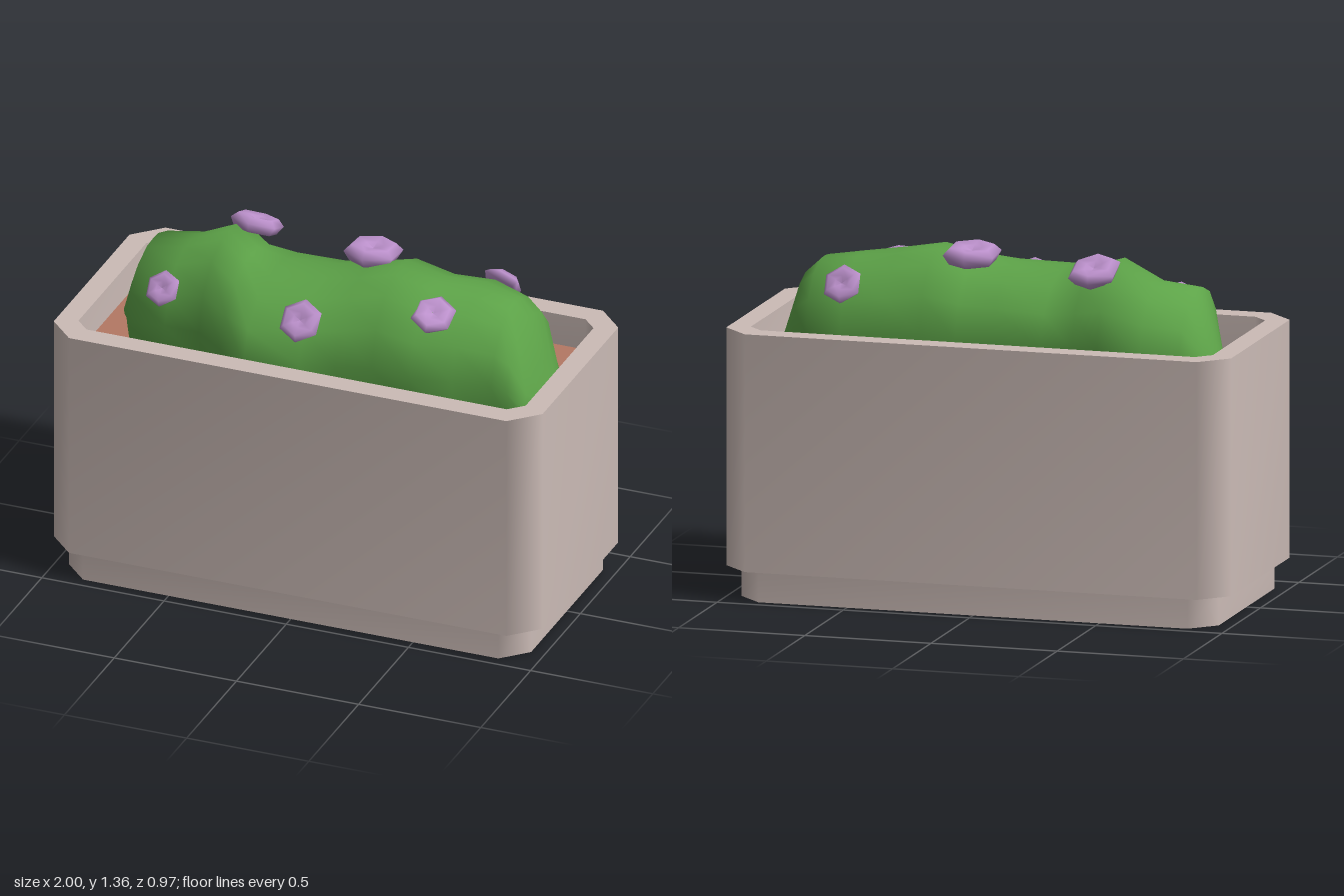
import * as THREE from 'three';

const mat = (name, color) => {
  const m = new THREE.MeshStandardMaterial({ color });
  m.name = name;
  return m;
};

// Skin between cross-section rings of equal length, smooth within the part
function loft(rings, closed) {
  const n = rings[0].length, index = [];
  for (let r = 0; r < rings.length - 1; r++) {
    for (let j = 0; j < (closed ? n : n - 1); j++) {
      const k = (j + 1) % n;
      const a = r * n + j, b = r * n + k, c = a + n, d = b + n;
      index.push(a, c, b, b, c, d);
    }
  }
  const g = new THREE.BufferGeometry();
  g.setAttribute('position', new THREE.Float32BufferAttribute(rings.flat(2), 3));
  g.setIndex(index);
  g.computeVertexNormals();
  return g;
}

// Rectangle with cut corners at height y
function octagon(hx, hz, c, y) {
  const x = hx - c, z = hz - c;
  return [[hx, -z], [hx, z], [x, hz], [-x, hz], [-hx, z], [-hx, -z], [-x, -hz], [x, -hz]]
    .map(([px, pz]) => [px, y, pz]);
}

export function createModel() {
  const model = new THREE.Group();
  model.name = 'flowerPlanter';
  const stone = mat('stone', 0xcbbbb6);
  const soilMat = mat('soil', 0xb47863);
  const leaf = mat('leaf', 0x5da348);
  const petal = mat('petal', 0xbf93cf);
  const add = (name, geometry, material, parent = model) => {
    const m = new THREE.Mesh(geometry, material);
    m.name = name;
    parent.add(m);
    return m;
  };

  // Planter box: each band is its own mesh so the horizontal edges stay sharp
  const box = new THREE.Group();
  box.name = 'planterBox';
  model.add(box);
  const soilY = 0.91;
  const centre = (y) => octagon(0, 0, 0, y);
  const footLow = octagon(0.945, 0.455, 0.095, 0), footTop = octagon(0.945, 0.455, 0.095, 0.12);
  const wallLow = octagon(1, 0.485, 0.105, 0.12), wallTop = octagon(1, 0.485, 0.105, 1.04);
  const innerTop = octagon(0.915, 0.395, 0.055, 1.04), innerLow = octagon(0.915, 0.395, 0.055, soilY);
  [
    ['footBottom', centre(0), footLow],
    ['foot', footLow, footTop],
    ['ledge', footTop, wallLow],
    ['outerWall', wallLow, wallTop],
    ['rim', wallTop, innerTop],
    ['innerWall', innerTop, innerLow],
  ].forEach(([name, a, b]) => add(name, loft([a, b], true), stone, box));
  add('soil', loft([innerLow, centre(soilY)], true), soilMat);

  // Bush: stations along x as [x, back z, front z, top y]
  const stations = [
    [-0.89, -0.16, -0.04, 0.92], [-0.85, -0.22, 0.02, 1.05], [-0.77, -0.31, 0.21, 1.23],
    [-0.62, -0.33, 0.2, 1.25], [-0.46, -0.355, 0.25, 1.325], [-0.34, -0.295, 0.32, 1.28],
    [-0.22, -0.31, 0.395, 1.27], [-0.02, -0.28, 0.325, 1.28], [0.12, -0.3, 0.3, 1.3],
    [0.26, -0.305, 0.28, 1.335], [0.42, -0.29, 0.29, 1.305], [0.57, -0.325, 0.24, 1.29],
    [0.72, -0.265, 0.21, 1.265], [0.78, -0.25, 0.2, 1.21], [0.84, -0.18, 0.18, 1.04],
    [0.875, -0.12, 0.06, 0.92],
  ];
  // Half profile as [share of half width, share of height]
  const half = [[0.88, 0], [1, 0.38], [0.86, 0.68], [0.56, 0.9], [0.22, 0.99]];
  const profile = [...half, [0, 1], ...half.slice().reverse().map(([w, h]) => [-w, h])];
  const sections = stations.map(([x, back, front, top], i) =>
    profile.map(([w, h]) => {
      const ragged = h === 0 ? (i % 2 ? 1.06 : 0.96) : 1;
      return [x, 0.86 + (top - 0.86) * h, (front + back) / 2 + w * ragged * (front - back) / 2];
    }));
  add('bush', loft(sections, false), leaf);

  // Six-sided blossoms with a dimpled middle
  const outline = [[0, -0.3], [0.8, -0.3], [1, 0.03], [0.76, 0.26], [0.35, 0.2], [0, 0.1]];
  const blossom = new THREE.LatheGeometry(outline.map(([x, y]) => new THREE.Vector2(x, y)), 6);
  const up = new THREE.Vector3(0, 1, 0);
  // [position, radius, facing direction]
  [
    [[-0.635, 1.155, 0.18], 0.072, [-0.1, 0.6, 0.75]],
    [[-0.03, 1.185, 0.28], 0.086, [0, 0.65, 0.75]],
    [[0.46, 1.245, 0.15], 0.088, [0.1, 0.88, 0.45]],
    [[0.11, 1.325, -0.105], 0.115, [0, 0.98, -0.1]],
    [[-0.4, 1.305, -0.19], 0.105, [0.1, 0.92, -0.36]],
    [[0.575, 1.21, -0.265], 0.08, [0.1, 0.55, -0.83]],
  ].forEach(([p, r, d], i) => {
    const f = add('blossom' + (i + 1), blossom, petal);
    f.position.set(...p);
    f.scale.setScalar(r);
    f.quaternion.setFromUnitVectors(up, new THREE.Vector3(...d).normalize());
  });
  return model;
}
